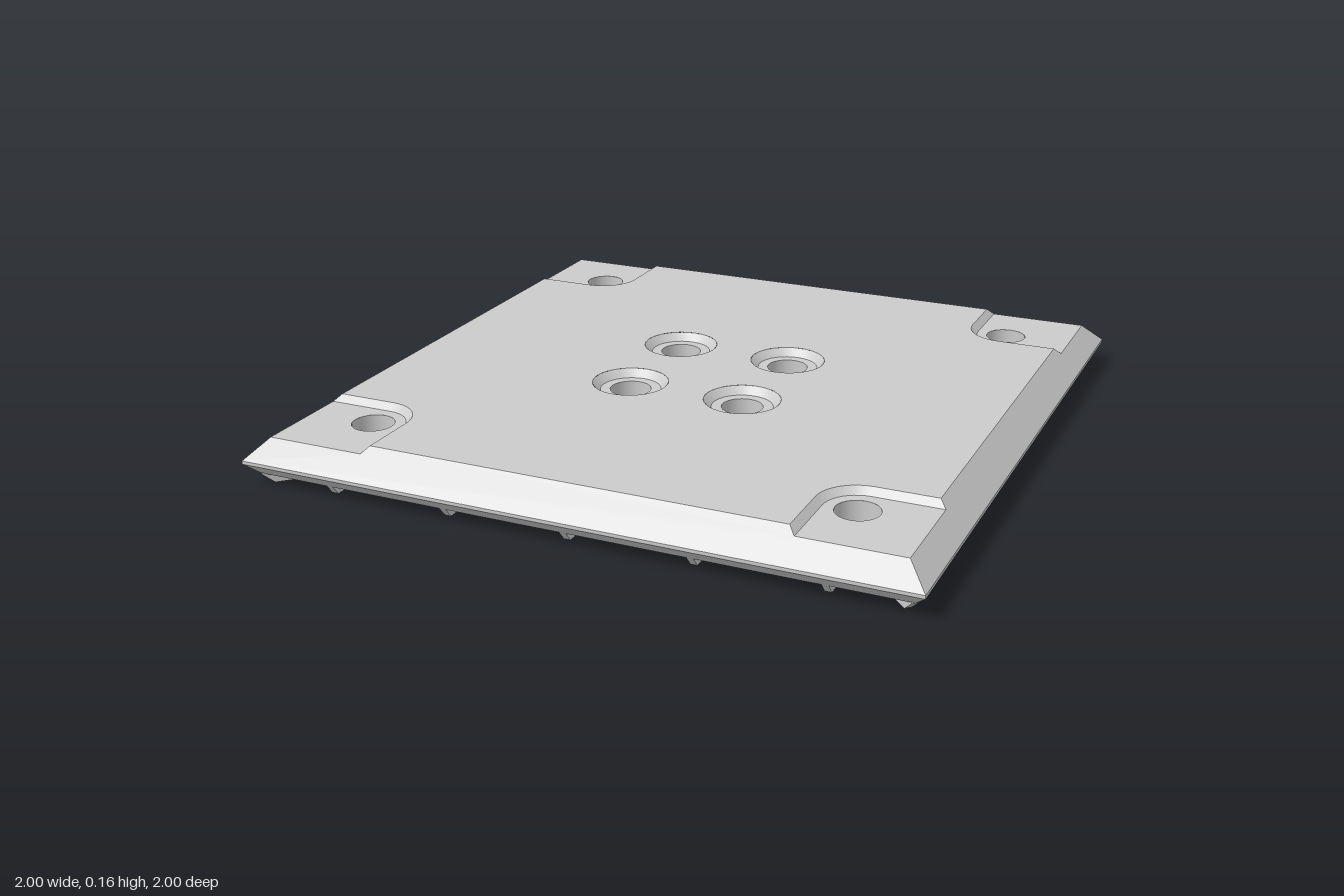
import * as THREE from 'three';
import { toCreasedNormals } from 'three/addons/utils/BufferGeometryUtils.js';

const TOP = 0.155, FLOOR = 0.135, CEIL = 0.125, RIM = 0.075;
const HOLE = 0.062, CORNER = 0.735, INNER = 0.183;

export function createModel() {
  const grey = new THREE.MeshStandardMaterial({ color: 0xcccccc });
  grey.name = 'lightGrey';
  const model = new THREE.Group();
  model.name = 'mountingPlate';

  const add = (parent, name, geo) => {
    const mesh = new THREE.Mesh(geo, grey);
    mesh.name = name;
    parent.add(mesh);
    return mesh;
  };
  const lathe = (pts, sides) =>
    toCreasedNormals(new THREE.LatheGeometry(pts.map(p => new THREE.Vector2(...p)), sides), 0.5);
  const shapeOf = (pts, holes = [], r = HOLE) => {
    const shape = new THREE.Shape(pts.map(p => new THREE.Vector2(...p)));
    for (const [x, y] of holes) shape.holes.push(new THREE.Path().absarc(x, y, r, 0, Math.PI * 2, true));
    return shape;
  };
  const flip = pts => pts.map(([x, z]) => [x, -z]);
  const faceUp = (pts, holes, r, y) =>
    new THREE.ShapeGeometry(shapeOf(flip(pts), flip(holes), r), 32).rotateX(-Math.PI / 2).translate(0, y, 0);
  const square = s => [[s, s], [s, -s], [-s, -s], [-s, s]];

  // Rounded inner edge of a corner pocket, as x,z points
  const pocketEdge = (r, end) => {
    const c = 0.74, pts = [[c - r, end]];
    for (let i = 0; i <= 10; i++) {
      const a = (i / 10) * Math.PI / 2;
      pts.push([c - r * Math.cos(a), c - r * Math.sin(a)]);
    }
    pts.push([end, c - r]);
    return pts;
  };
  const upper = pocketEdge(0.12, 0.92), lower = pocketEdge(0.1, 0.94);

  // Top face, notched at each corner
  const outline = [];
  let turn = upper;
  for (let k = 0; k < 4; k++) {
    outline.push(...turn);
    turn = turn.map(([x, z]) => [z, -x]);
  }
  add(model, 'topFace', faceUp(outline, square(INNER), 0.115, TOP));

  // Underside of the top, open at the bosses
  const ceiling = new THREE.ShapeGeometry(
    shapeOf(square(0.85), [...square(INNER), ...square(CORNER)], 0.09), 32);
  add(model, 'underside', ceiling.rotateX(Math.PI / 2).translate(0, CEIL, 0));

  // Rim lip, channel and inner skirt as one square ring
  const ring = [[0.84, CEIL], [0.84, 0], [0.87, 0], [0.87, 0.1], [0.945, 0.1],
    [0.945, 0.03], [0.965, 0.03], [1, 0.065], [1, RIM]];
  add(model, 'rimAndSkirt', lathe(ring.map(([r, y]) => [r * Math.SQRT2, y]), 4).rotateY(Math.PI / 4));

  // Bevelled side, notched by the pockets
  const bevel = new THREE.ShapeGeometry(shapeOf([[-1, 0], [1, 0], [0.94, 0.06], [0.64, 0.06],
    [0.62, 0.08], [-0.62, 0.08], [-0.64, 0.06], [-0.94, 0.06]]));
  const bp = bevel.attributes.position;
  for (let i = 0; i < bp.count; i++) bp.setXYZ(i, bp.getX(i), RIM + bp.getY(i), 1 - bp.getY(i));
  bevel.computeVertexNormals();

  // Sloped wall around a pocket
  const wallPts = [];
  for (let i = 0; i < upper.length - 1; i++) {
    const t = j => [upper[j][0], TOP, upper[j][1]];
    const f = j => [lower[j][0], FLOOR, lower[j][1]];
    wallPts.push(...t(i), ...f(i), ...t(i + 1), ...f(i), ...f(i + 1), ...t(i + 1));
  }
  let wall = new THREE.BufferGeometry();
  wall.setAttribute('position', new THREE.Float32BufferAttribute(wallPts, 3));
  wall = toCreasedNormals(wall, 0.5);

  const floor = faceUp([...lower, [0.94, 0.94]], [[CORNER, CORNER]], HOLE, FLOOR);
  const backing = new THREE.ExtrudeGeometry(
    shapeOf([...pocketEdge(0.14, 0.85), [0.85, 0.85]], [[CORNER, CORNER]]),
    { depth: 0.02, bevelEnabled: false, curveSegments: 32 }).rotateX(Math.PI / 2).translate(0, CEIL, 0);

  // Hollow bosses: plain at the corners, countersunk in the middle
  const cornerBoss = lathe([[HOLE, FLOOR], [HOLE, 0.01], [0.092, 0.01], [0.092, CEIL]], 32);
  const innerBoss = lathe([[0.115, TOP], [0.092, 0.132], [HOLE, 0.132], [HOLE, 0.01],
    [0.092, 0.01], [0.092, 0.085], [0.125, 0.085], [0.125, CEIL]], 32);

  // Small gusset between skirt and lip
  const gusset = stretch => new THREE.ExtrudeGeometry(
    shapeOf([[0.86, 0], [0.94, 0], [0.965, 0.03], [0.95, 0.1], [0.86, 0.1]].map(([x, y]) => [x * stretch, y])),
    { depth: 0.02, bevelEnabled: false }).translate(0, 0, -0.01);
  const sideGusset = gusset(1), cornerGusset = gusset(Math.SQRT2);
  const rib = (a, b) => new THREE.BoxGeometry(b - a, CEIL - 0.01, 0.025)
    .translate((a + b) / 2, (CEIL + 0.01) / 2, 0);

  // One quarter repeated around the plate
  for (let k = 0; k < 4; k++) {
    const quarter = new THREE.Group();
    quarter.name = 'quarter' + (k + 1);
    quarter.rotation.y = k * Math.PI / 2;
    model.add(quarter);
    add(quarter, 'sideBevel', bevel);
    add(quarter, 'pocketWall', wall);
    add(quarter, 'pocketFloor', floor);
    add(quarter, 'pocketBacking', backing);
    add(quarter, 'cornerBoss', cornerBoss).position.set(CORNER, 0, CORNER);
    add(quarter, 'innerBoss', innerBoss).position.set(INNER, 0, INNER);
    for (const z of [-0.733, -0.367, 0, 0.367, 0.733]) add(quarter, 'gusset', sideGusset).position.z = z;
    // Diagonal ribs run from the centre out to the corner
    for (const [a, b] of [[0, 0.18], [0.34, 0.96], [1.12, 1.2]])
      add(quarter, 'diagonalRib', rib(a, b)).rotation.y = -Math.PI / 4;
    add(quarter, 'cornerGusset', cornerGusset).rotation.y = -Math.PI / 4;
    add(quarter, 'linkRib', rib(-0.1, 0.1)).position.z = INNER;
  }
  return model;
}
